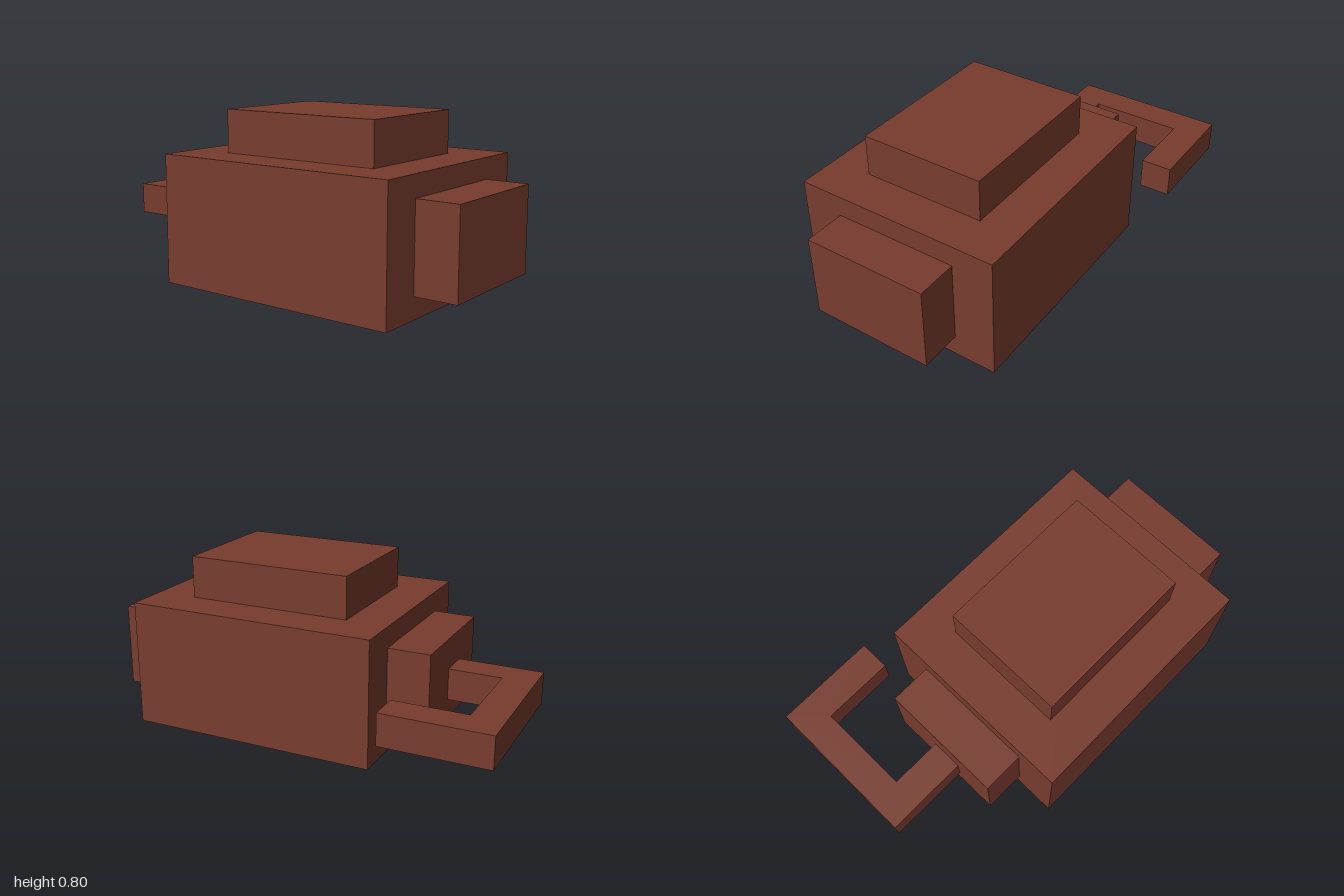
import * as THREE from 'three';

const brown = new THREE.MeshStandardMaterial({ color: 0x783c2e });
brown.name = 'reddish brown';

// Box given by its extents on each axis
function block(name, [x0, x1], [y0, y1], [z0, z1]) {
  const mesh = new THREE.Mesh(new THREE.BoxGeometry(x1 - x0, y1 - y0, z1 - z0), brown);
  mesh.position.set((x0 + x1) / 2, (y0 + y1) / 2, (z0 + z1) / 2);
  mesh.name = name;
  return mesh;
}

export function createModel() {
  const model = new THREE.Group();
  model.name = 'blockBody';

  // Main body with a raised slab on top and a panel at each end
  const inner = [-0.225, 0.375];
  model.add(
    block('body', [-0.4, 0.8], [0, 0.6], [-0.425, 0.575]),
    block('topSlab', [-0.2, 0.6], [0.6, 0.8], inner),
    block('leftPanel', [0.8, 1], [0.1, 0.5], inner),
    block('rightPanel', [-0.6, -0.4], [0.1, 0.5], inner)
  );

  // Hooked arm: C-shaped outline (x, z) extruded upwards
  const outline = [
    [-0.6, 0.175], [-1, 0.175], [-1, -0.575], [-0.5, -0.575],
    [-0.5, -0.425], [-0.85, -0.425], [-0.85, 0.025], [-0.6, 0.025]
  ];
  const shape = new THREE.Shape(outline.map(([x, z]) => new THREE.Vector2(x, -z)));
  const hookGeometry = new THREE.ExtrudeGeometry(shape, { depth: 0.15, bevelEnabled: false });
  hookGeometry.rotateX(-Math.PI / 2);
  const hook = new THREE.Mesh(hookGeometry, brown);
  hook.position.y = 0.2;
  hook.name = 'hookedArm';
  model.add(hook);

  return model;
}
